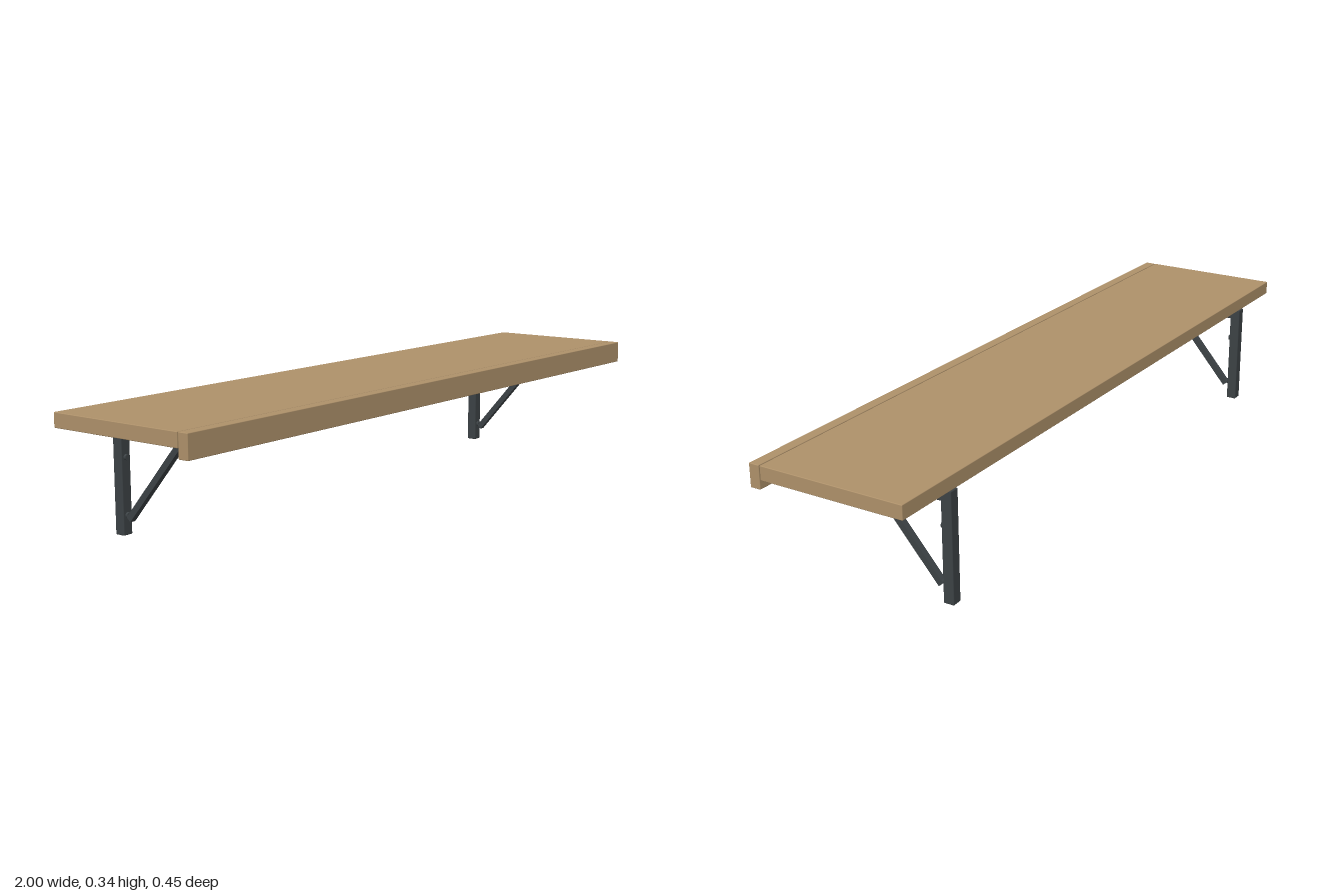
import * as THREE from 'three';
import { RoundedBoxGeometry } from 'three/addons/geometries/RoundedBoxGeometry.js';

export function createModel() {
  const model = new THREE.Group();
  model.name = 'wallShelf';

  const wood = new THREE.MeshStandardMaterial({ color: 0xae916a });
  wood.name = 'wood';
  const metal = new THREE.MeshStandardMaterial({ color: 0x3c4245 });
  metal.name = 'darkMetal';

  // Softly edged bar given by its width at x = 0 and its y and z limits
  function bar(name, material, width, y0, y1, z0, z1, radius = 0.003) {
    const geometry = new RoundedBoxGeometry(width, y1 - y0, z1 - z0, 2, radius);
    const mesh = new THREE.Mesh(geometry, material);
    mesh.name = name;
    mesh.position.set(0, (y0 + y1) / 2, (z0 + z1) / 2);
    return mesh;
  }

  // Shelf board and deeper front lip, with a narrow gap between them
  model.add(bar('shelfBoard', wood, 2, 0.303, 0.342, -0.224, 0.191, 0.002));
  model.add(bar('frontLip', wood, 2, 0.278, 0.342, 0.194, 0.224, 0.002));

  function bracket(name, x) {
    const group = new THREE.Group();
    group.name = name;
    group.position.x = x;
    group.add(bar('wallPost', metal, 0.03, 0, 0.301, -0.224, -0.194));
    group.add(bar('supportArm', metal, 0.03, 0.27, 0.301, -0.224, 0.107));

    // Diagonal brace running from the post up into the arm
    const low = new THREE.Vector3(0, 0.043, -0.183);
    const high = new THREE.Vector3(0, 0.28, 0.022);
    const along = high.clone().sub(low);
    const brace = new THREE.Mesh(new THREE.BoxGeometry(0.017, along.length(), 0.017), metal);
    brace.name = 'diagonalBrace';
    brace.position.copy(low).add(high).multiplyScalar(0.5);
    brace.rotation.x = Math.atan2(along.z, along.y);
    group.add(brace);

    // Screw heads on the front of the post
    for (const y of [0.052, 0.202]) {
      const screw = new THREE.Mesh(new THREE.CylinderGeometry(0.008, 0.008, 0.01, 16), metal);
      screw.name = 'screwHead';
      screw.rotation.x = Math.PI / 2;
      screw.position.set(0, y, -0.192);
      group.add(screw);
    }
    return group;
  }

  model.add(bracket('leftBracket', 0.8), bracket('rightBracket', -0.8));
  return model;
}
